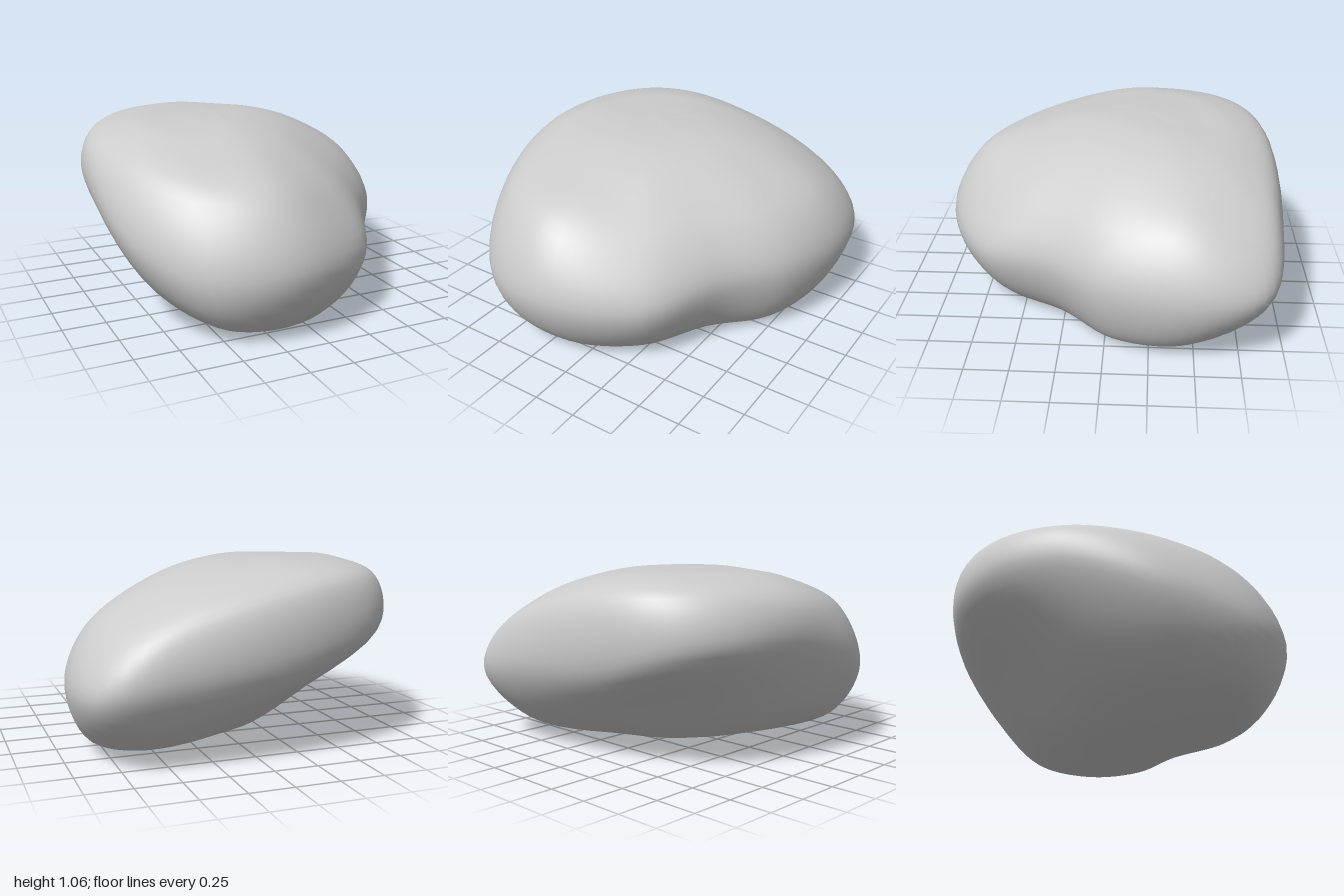
import * as THREE from 'three';
import { mergeVertices } from 'three/addons/utils/BufferGeometryUtils.js';

// Closed cross-sections, each running from the left-back corner round by the front.
// Every triple is x, y, z.
const foot = [
  0.82, 0.07, -0.42, 0.74, 0.05, -0.05, 0.46, 0.04, 0.25, 0.25, 0.04, 0.6, -0.12, 0.04, 0.8,
  -0.5, 0.08, 0.77, -0.71, 0.16, 0.42, -0.66, 0.22, -0.05, -0.52, 0.31, -0.38, -0.34, 0.32, -0.58,
  -0.1, 0.25, -0.69, 0.38, 0.13, -0.72, 0.68, 0.1, -0.68,
];
const belly = [
  0.975, 0.4, -0.55, 0.87, 0.42, -0.04, 0.61, 0.42, 0.33, 0.35, 0.37, 0.76, -0.15, 0.4, 1,
  -0.62, 0.37, 0.88, -0.91, 0.5, 0.47, -0.97, 0.67, -0.08, -0.88, 0.7, -0.53, -0.66, 0.66, -0.81,
  -0.25, 0.55, -0.95, 0.4, 0.47, -0.985, 0.86, 0.4, -0.89,
];
const shoulder = [
  0.84, 0.71, -0.48, 0.75, 0.7, -0.08, 0.52, 0.69, 0.26, 0.25, 0.68, 0.62, -0.2, 0.78, 0.82,
  -0.58, 0.79, 0.7, -0.84, 0.85, 0.34, -0.94, 0.9, -0.1, -0.84, 0.95, -0.5, -0.6, 0.965, -0.79,
  -0.25, 0.93, -0.93, 0.38, 0.78, -0.95, 0.77, 0.63, -0.87,
];
const crown = [
  0.52, 0.92, -0.42, 0.43, 0.93, -0.12, 0.24, 0.95, 0.1, 0.07, 0.92, 0.36, -0.2, 0.95, 0.44,
  -0.46, 0.95, 0.4, -0.65, 1, 0.14, -0.72, 1.03, -0.12, -0.63, 1.045, -0.4, -0.45, 1.05, -0.6,
  -0.2, 1.035, -0.72, 0.2, 0.96, -0.76, 0.47, 0.9, -0.68,
];

function ringCurve(values) {
  const points = [];
  for (let i = 0; i < values.length; i += 3) points.push(new THREE.Vector3().fromArray(values, i));
  return new THREE.CatmullRomCurve3(points, true);
}

// Point halfway from a ring to its pole, nearly at the height of the pole
function capPoint(p, pole, flatness) {
  const q = p.clone().lerp(pole, 0.5);
  q.y = THREE.MathUtils.lerp(p.y, pole.y, flatness);
  return q;
}

// Smooth skin through the rings, closed at both poles
function loft(bottom, rings, top, around, rows) {
  const curves = rings.map(ringCurve);
  const positions = [];
  const index = [];
  for (let j = 0; j < around; j++) {
    const ribs = curves.map((c) => c.getPoint(j / around));
    const profile = new THREE.CatmullRomCurve3([
      bottom,
      capPoint(ribs[0], bottom, 0.9),
      ...ribs,
      capPoint(ribs[ribs.length - 1], top, 0.8),
      top,
    ]);
    for (let i = 0; i <= rows; i++) {
      const p = profile.getPoint(i / rows);
      positions.push(p.x, Math.max(p.y, 0), p.z);
    }
    for (let i = 0; i < rows; i++) {
      const a = j * (rows + 1) + i;
      const b = ((j + 1) % around) * (rows + 1) + i;
      index.push(a, a + 1, b + 1, a, b + 1, b);
    }
  }
  let geometry = new THREE.BufferGeometry();
  geometry.setAttribute('position', new THREE.Float32BufferAttribute(positions, 3));
  geometry.setIndex(index);
  geometry = mergeVertices(geometry, 1e-5);
  geometry.computeVertexNormals();
  return geometry;
}

export function createModel() {
  const group = new THREE.Group();
  group.name = 'boulder';

  const stone = new THREE.Mesh(
    loft(
      new THREE.Vector3(0.1, 0.01, 0.05),
      [foot, belly, shoulder, crown],
      new THREE.Vector3(-0.17, 1.066, -0.22),
      78,
      48,
    ),
    new THREE.MeshStandardMaterial({ color: 0xcccccc }),
  );
  stone.name = 'stone';
  group.add(stone);
  return group;
}
